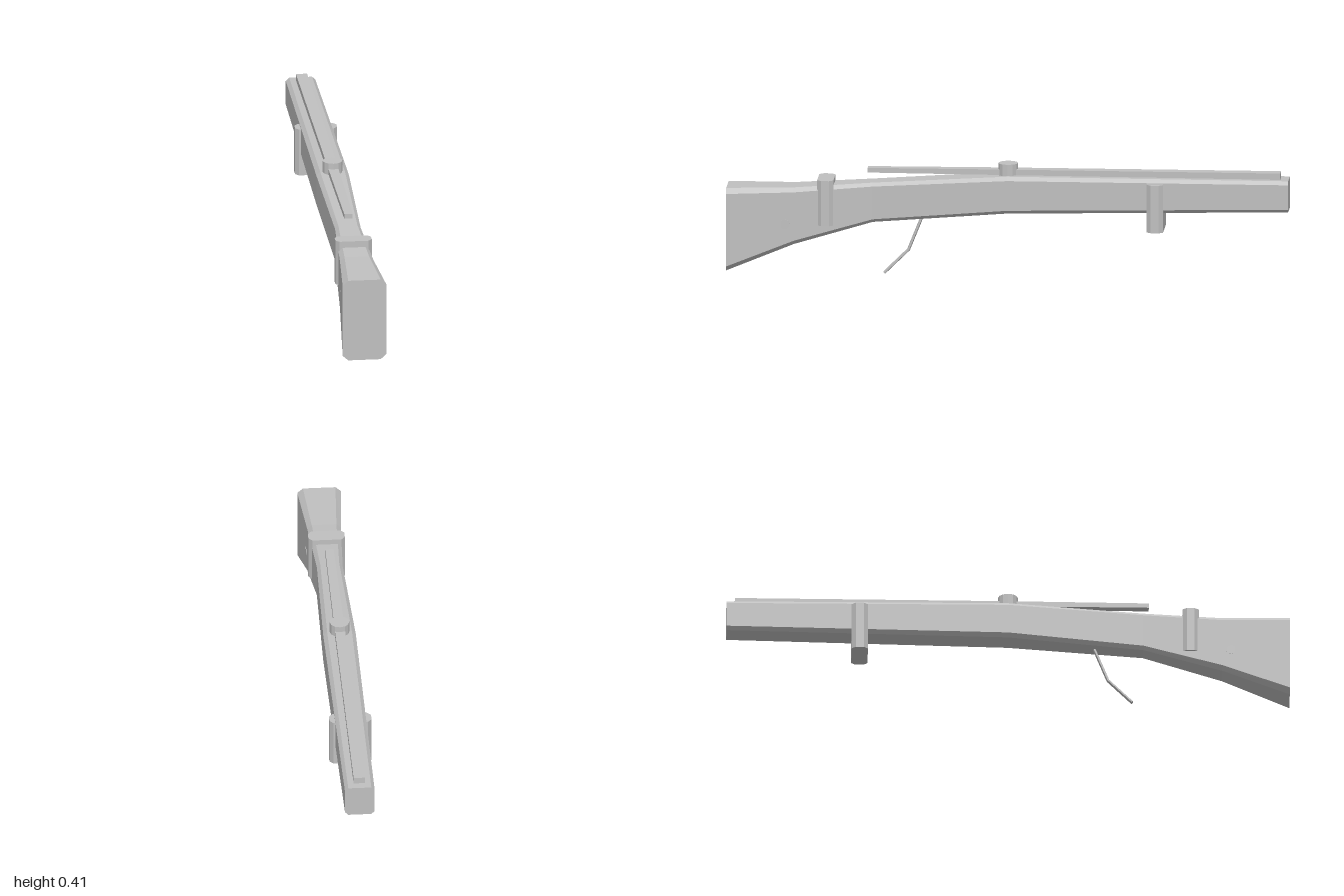
import * as THREE from 'three';

// Joins equal-length cross-sections ([x, y, z] loops, anticlockwise seen from +z), listed from +z to -z.
function loft(sections) {
  const pos = [];
  const n = sections[0].length;
  const tri = (...p) => p.forEach((v) => pos.push(...v));
  for (let s = 0; s < sections.length - 1; s++) {
    const a = sections[s], b = sections[s + 1];
    for (let i = 0; i < n; i++) {
      const j = (i + 1) % n;
      tri(a[i], b[j], a[j]);
      tri(a[i], b[i], b[j]);
    }
  }
  const first = sections[0], last = sections[sections.length - 1];
  for (let i = 1; i < n - 1; i++) {
    tri(first[0], first[i], first[i + 1]);
    tri(last[0], last[i + 1], last[i]);
  }
  const g = new THREE.BufferGeometry();
  g.setAttribute('position', new THREE.Float32BufferAttribute(pos, 3));
  g.computeVertexNormals();
  return g;
}

// Rectangle with cut corners
function octagon(w, y0, y1, cx, cy) {
  return [
    [w - cx, y0], [w, y0 + cy], [w, y1 - cy], [w - cx, y1],
    [-w + cx, y1], [-w, y1 - cy], [-w, y0 + cy], [-w + cx, y0],
  ];
}

export function createModel() {
  const group = new THREE.Group();
  const grey = new THREE.MeshStandardMaterial({ color: 0xc0c0c0 });
  grey.name = 'plain grey';
  const add = (name, geometry, x = 0, y = 0, z = 0) => {
    const mesh = new THREE.Mesh(geometry, grey);
    mesh.name = name;
    mesh.position.set(x, y, z);
    group.add(mesh);
    return mesh;
  };

  // Stock: z, half width, bottom, top, corner cut in x and y
  const stations = [
    [1, 0.078, 0.015, 0.315, 0.02, 0.018],
    [0.76, 0.06, 0.112, 0.318, 0.016, 0.015],
    [0.48, 0.046, 0.195, 0.338, 0.012, 0.012],
    [0, 0.058, 0.236, 0.37, 0.014, 0.013],
    [-1, 0.053, 0.257, 0.37, 0.012, 0.012],
  ];
  add('stock', loft(stations.map(([z, ...s]) => octagon(...s).map(([x, y]) => [x, y, z]))));

  // Top rail, slightly wider and higher at the back
  const rail = [[0.5, 0.015, 0.37, 0.387], [0, 0.018, 0.37, 0.39], [-0.97, 0.02, 0.368, 0.393]];
  add('topRail', loft(rail.map(([z, w, a, b]) => [[w, a, z], [w, b, z], [-w, b, z], [-w, a, z]])));

  // Round knob on the rail
  add('knob', new THREE.CylinderGeometry(0.035, 0.035, 0.05, 12).toNonIndexed(), 0, 0.386, 0)
    .geometry.computeVertexNormals();

  // Bands passing through the stock
  const band = (name, w, y0, y1, z) => {
    const shape = new THREE.Shape(octagon(w, -0.029, 0.029, 0.013, 0.015).map(([x, y]) => new THREE.Vector2(x, y)));
    const g = new THREE.ExtrudeGeometry(shape, { depth: y1 - y0, bevelEnabled: false });
    g.rotateX(-Math.PI / 2);
    add(name, g, 0, y0, z);
  };
  band('frontBand', 0.065, 0.183, 0.347, 0.648);
  band('rearBand', 0.075, 0.18, 0.353, -0.527);

  // Cross pin through the butt
  const pin = new THREE.CylinderGeometry(0.018, 0.018, 0.127, 12);
  pin.rotateZ(Math.PI / 2);
  add('crossPin', pin, 0, 0.187, 0.792);

  // Bent lever underneath
  const lever = [[0.215, 0.305], [0.09, 0.355], [0.006, 0.44]].map(([y, z]) => new THREE.Vector3(0, y, z));
  for (let i = 0; i < 2; i++) {
    const dir = lever[i + 1].clone().sub(lever[i]);
    const g = new THREE.CylinderGeometry(0.011, 0.011, dir.length() + 0.003, 6).toNonIndexed();
    g.scale(1, 1, 0.5);
    g.computeVertexNormals();
    const mid = lever[i].clone().add(lever[i + 1]).multiplyScalar(0.5);
    const part = add(i ? 'leverLower' : 'leverUpper', g, mid.x, mid.y, mid.z);
    part.rotation.x = Math.atan2(-dir.z, -dir.y);
  }

  return group;
}
